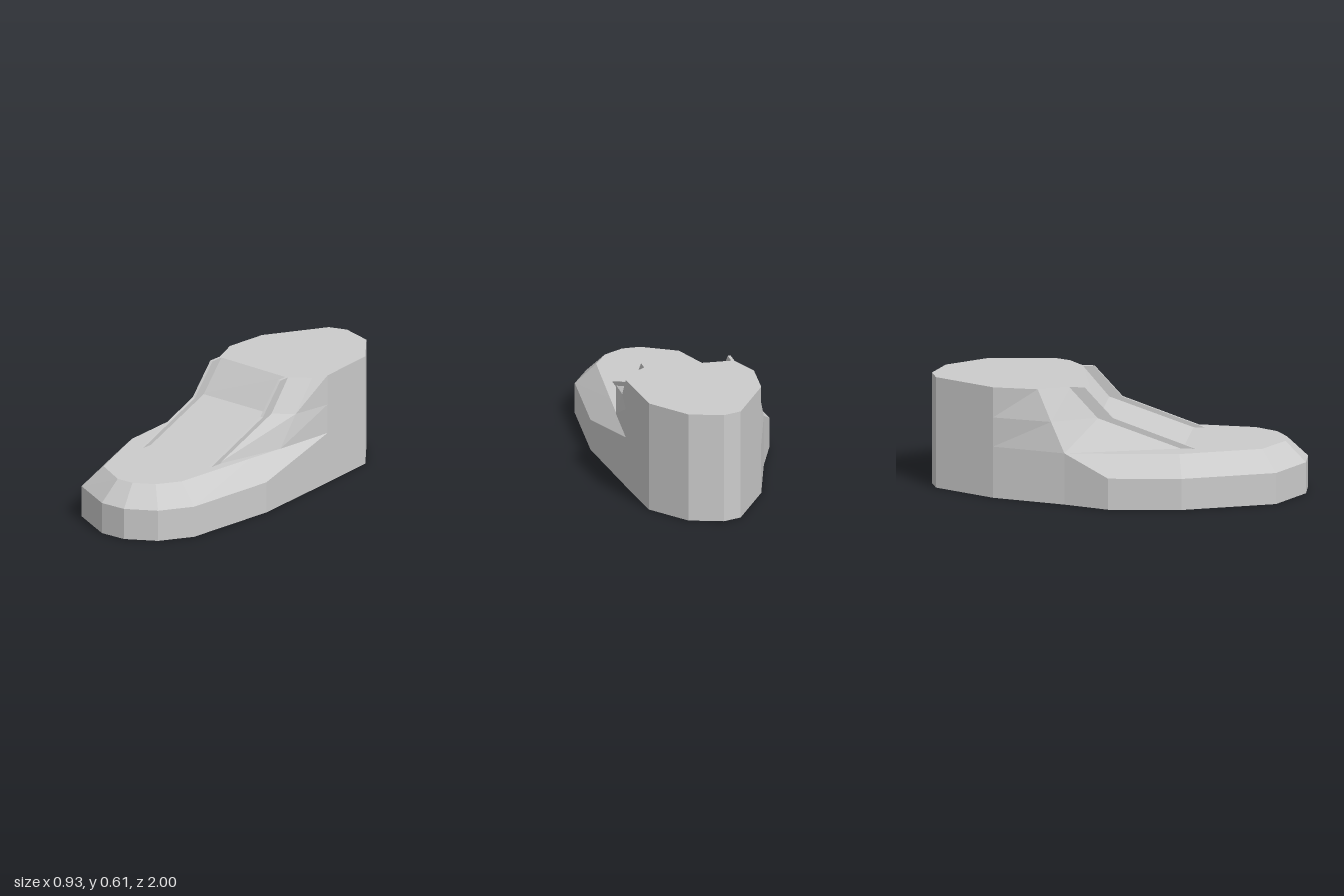
import * as THREE from 'three';

const material = new THREE.MeshStandardMaterial({ color: 0xcccccc, flatShading: true, side: THREE.DoubleSide });

// Joins rings of [x, y, z] points, listed anticlockwise from above, and caps both ends.
function loft(name, rings) {
  const n = rings[0].length;
  const index = [];
  for (let r = 0; r < rings.length - 1; r++) {
    for (let i = 0; i < n; i++) {
      const a = r * n + i, b = r * n + (i + 1) % n;
      index.push(a, b, b + n, a, b + n, a + n);
    }
  }
  const cap = (ring) => THREE.ShapeUtils.triangulateShape(ring.map(([x, , z]) => new THREE.Vector2(x, -z)), []);
  const last = (rings.length - 1) * n;
  for (const [a, b, c] of cap(rings[0])) index.push(a, c, b);
  for (const [a, b, c] of cap(rings[rings.length - 1])) index.push(last + a, last + b, last + c);

  const indexed = new THREE.BufferGeometry();
  indexed.setAttribute('position', new THREE.Float32BufferAttribute(rings.flat(2), 3));
  indexed.setIndex(index);
  const geometry = indexed.toNonIndexed();
  geometry.computeVertexNormals();
  const mesh = new THREE.Mesh(geometry, material);
  mesh.name = name;
  return mesh;
}

const TOP = 0.605, MID = 0.44, DECK = 0.28, EDGE = 0.17;

// Heel outline shared by the sole and the upper, from right to left
const heel = [[0.42, -0.37], [0.39, -0.73], [0.23, -0.94], [0.05, -1], [-0.05, -0.97], [-0.25, -0.65]];

function createSole() {
  const leftCorner = [-0.37, -0.26];
  const outer = [[-0.02, 1], [0.13, 1], [0.29, 0.91], [0.4, 0.74], [0.46, 0.2], ...heel, leftCorner,
    [-0.465, -0.02], [-0.44, 0.37], [-0.27, 0.86]];
  const inner = [[0, 0.89], [0.1, 0.89], [0.21, 0.83], [0.29, 0.71], [0.351, 0.2], ...heel, leftCorner,
    [-0.358, -0.02], [-0.335, 0.35], [-0.185, 0.78]];
  // The bevel fades out where the sole meets the heel
  const rim = outer.map(([x, z], i) => [x, i >= 5 && i <= 11 ? DECK : EDGE, z]);
  return loft('sole', [
    outer.map(([x, z]) => [x, 0, z]),
    rim,
    inner.map(([x, z]) => [x, DECK, z]),
  ]);
}

function createUpper() {
  // Each level: left panel edge, right panel edge, right shoulder, left shoulder
  const level = (y, panelLeft, panelRight, right, left) =>
    [panelLeft, panelRight, right, ...heel, left].map(([x, z]) => [x, y, z]);
  return loft('upper', [
    level(DECK, [-0.21, 0.36], [0.27, 0.38], [0.38, -0.02], [-0.37, -0.26]),
    level(MID, [-0.21, -0.09], [0.27, -0.07], [0.38, -0.15], [-0.325, -0.335]),
    level(TOP, [-0.21, -0.24], [0.27, -0.21], [0.38, -0.29], [-0.275, -0.41]),
  ]);
}

// Thin raised rib following the slope of the front panel
function createRib(name, x, z) {
  const profile = [[0.44, DECK], [0, MID], [-0.15, TOP], [-0.25, TOP], [-0.13, 0.4], [0.3, DECK]];
  const shape = new THREE.Shape(profile.map(([pz, py]) => new THREE.Vector2(-pz, py)));
  const geometry = new THREE.ExtrudeGeometry(shape, { depth: 0.016, bevelEnabled: false });
  geometry.translate(0, 0, -0.008);
  geometry.rotateY(Math.PI / 2);
  const rib = new THREE.Mesh(geometry, material);
  rib.name = name;
  rib.position.set(x, 0, z);
  return rib;
}

export function createModel() {
  const shoe = new THREE.Group();
  shoe.name = 'shoe';
  shoe.add(createSole(), createUpper(), createRib('rightRib', -0.205, -0.015), createRib('leftRib', 0.268, 0));
  return shoe;
}
